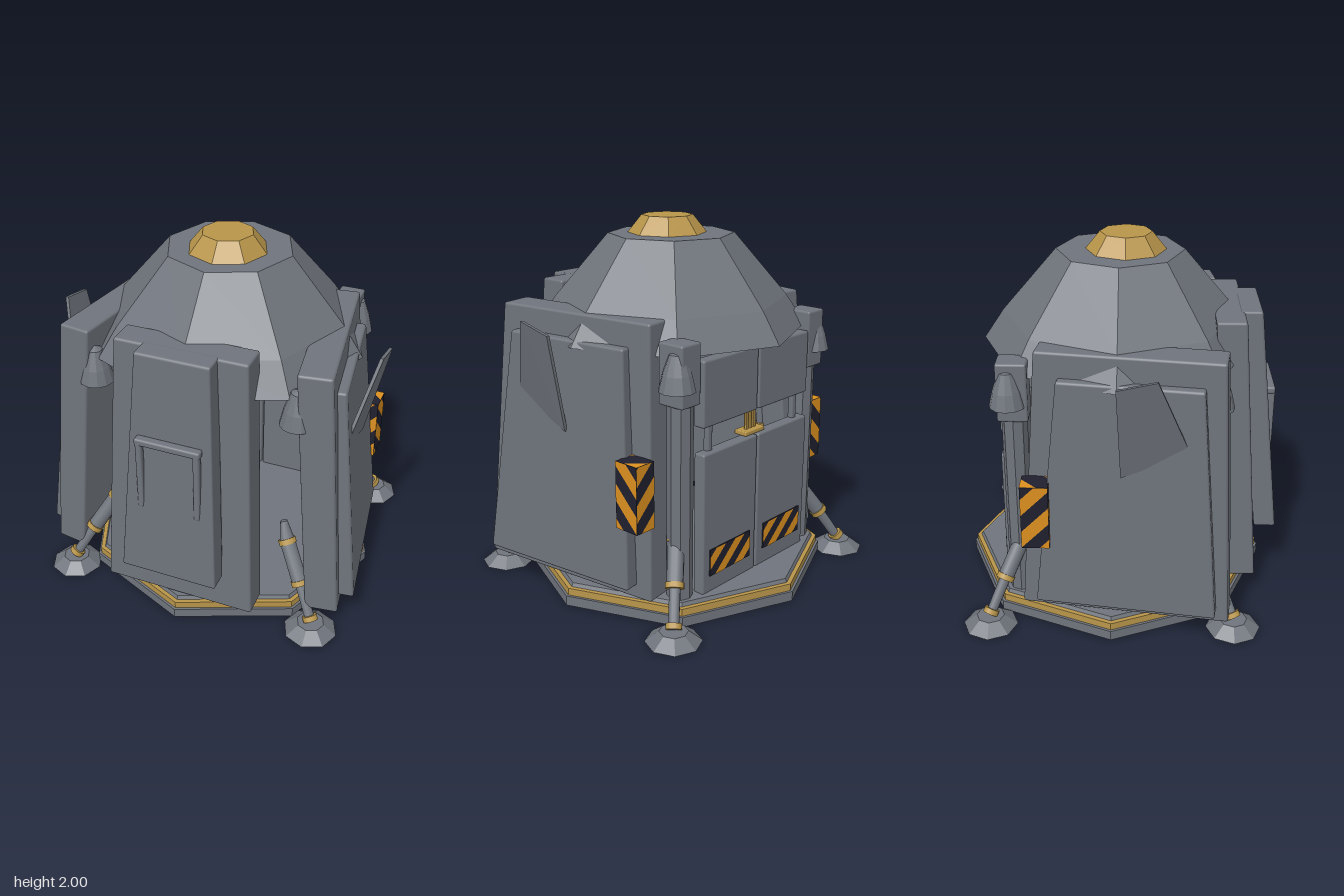
import * as THREE from 'three';
import { RoundedBoxGeometry } from 'three/addons/geometries/RoundedBoxGeometry.js';
import { ConvexGeometry } from 'three/addons/geometries/ConvexGeometry.js';

const mat = (name, color) => {
  const m = new THREE.MeshStandardMaterial({ color });
  m.name = name;
  return m;
};
const V = (x, y, z) => new THREE.Vector3(x, y, z);
const lerp = THREE.MathUtils.lerp;

export function createModel() {
  const hull = mat('hull grey', 0x6f747c);
  const gold = mat('brass', 0xb8954a);
  const orange = mat('hazard orange', 0xdc9020);
  const navy = mat('hazard navy', 0x20202f);
  const model = new THREE.Group();
  model.name = 'landingPod';

  const add = (parent, name, geo, material, x = 0, y = 0, z = 0) => {
    const m = new THREE.Mesh(geo, material);
    m.name = name;
    m.position.set(x, y, z);
    parent.add(m);
    return m;
  };
  const flat = (g) => {
    const n = g.index ? g.toNonIndexed() : g;
    n.computeVertexNormals();
    return n;
  };
  const disc = (rTop, rBottom, h, sides = 8) =>
    flat(new THREE.CylinderGeometry(rTop, rBottom, h, sides));
  const lathe = (pts, sides) =>
    flat(new THREE.LatheGeometry(pts.map(([r, y]) => new THREE.Vector2(r, y)), sides));
  const rbox = (w, h, d, r = 0.012) => new RoundedBoxGeometry(w, h, d, 2, r);

  // Straight rod between two points
  const rod = (parent, name, a, b, rA, rB, material, sides = 12) => {
    const d = b.clone().sub(a);
    const m = add(parent, name, new THREE.CylinderGeometry(rB, rA, d.length(), sides), material);
    m.position.copy(a).add(b).multiplyScalar(0.5);
    m.quaternion.setFromUnitVectors(V(0, 1, 0), d.normalize());
  };

  // Tapered slab leaning back; its outer face runs from z = zb to z = zt
  const slab = (wb, wt, y0, y1, zb, zt, t) => {
    const h = y1 - y0;
    const g = rbox(1, h, t, 0.014);
    const p = g.attributes.position;
    for (let i = 0; i < p.count; i++) {
      const f = p.getY(i) / h + 0.5;
      p.setXYZ(i, p.getX(i) * lerp(wb, wt, f), lerp(y0, y1, f), p.getZ(i) - t / 2 + lerp(zb, zt, f));
    }
    return g;
  };

  // Diagonal stripes clipped to a rectangle facing +z
  const clip = (poly, nx, ny, c) => poly.flatMap((p, i) => {
    const q = poly[(i + 1) % poly.length];
    const a = nx * p.x + ny * p.y - c, b = nx * q.x + ny * q.y - c;
    const out = a >= 0 ? [p] : [];
    if (a * b < 0) out.push(p.clone().lerp(q, a / (a - b)));
    return out;
  });
  const stripes = (w, h, slope, period, phase = 0) => {
    const shapes = [];
    for (let c = -(w + h); c < w + h; c += period) {
      let poly = [[-1, -1], [1, -1], [1, 1], [-1, 1]].map(([x, y]) => new THREE.Vector2(x * w / 2, y * h / 2));
      poly = clip(poly, slope, 1, c + phase);
      poly = clip(poly, -slope, -1, -(c + phase + period / 2));
      if (poly.length > 2) shapes.push(new THREE.Shape(poly));
    }
    return new THREE.ShapeGeometry(shapes);
  };

  // Octagonal base with brass band
  add(model, 'basePlate', disc(0.86, 0.86, 0.055), hull, 0, 0.0275, -0.03);
  add(model, 'baseBand', disc(0.845, 0.845, 0.04), gold, 0, 0.075, -0.03);
  add(model, 'floor', disc(0.81, 0.82, 0.02), hull, 0, 0.105, -0.03);

  // Hollow faceted dome and cap
  add(model, 'dome', lathe([[0, 1.86], [0.3, 1.86], [0.6, 1.53], [0.72, 1.395], [0.75, 1.395],
    [0.64, 1.56], [0.345, 1.905], [0, 1.905]], 8), hull);
  add(model, 'domeCap', disc(0.14, 0.22, 0.1), gold, 0, 1.95, 0.03);

  // Front panel with raised plate and handle
  const front = new THREE.Group();
  front.name = 'frontPanel';
  model.add(front);
  add(front, 'frontPanelBody', slab(0.86, 0.72, 0.13, 1.625, 0.77, 0.66, 0.16), hull);
  add(front, 'frontPanelPlate', slab(0.54, 0.4, 0.355, 1.628, 0.89, 0.755, 0.12), hull);
  add(front, 'handleBar', rbox(0.36, 0.04, 0.05), hull, 0, 1.165, 0.825);
  for (const s of [-1, 1])
    add(front, 'handleLeg', rbox(0.035, 0.42, 0.04), hull, s * 0.158, 0.965, 0.83);

  for (const s of [-1, 1]) {
    // Splayed side panel
    const side = new THREE.Group();
    side.name = s > 0 ? 'leftPanel' : 'rightPanel';
    side.rotation.y = s * 1.715;
    model.add(side);
    add(side, 'sidePanelBody', slab(1.11, 0.96, 0.13, 1.56, 0.771, 0.661, 0.18), hull, -s * 0.153);
    add(side, 'sidePanelPlate', slab(0.95, 0.74, 0.2, 1.43, 0.847, 0.72, 0.11), hull, -s * 0.166);

    // Angled fin standing off the side panel
    const fin = [[0.885, 1.53, 0.2], [0.885, 1.485, 0], [0.77, 0.955, 0.02], [0.78, 1.105, 0.365]];
    add(model, 'sideFin', new ConvexGeometry(fin.flatMap(([x, y, z]) =>
      [V(s * x, y, z), V(s * (x + 0.018), y, z)])), hull);

    // Striped hazard block behind the side panel
    const block = new THREE.Group();
    block.name = 'hazardBlock';
    block.position.set(s * 0.722, 0.71, -0.42);
    model.add(block);
    add(block, 'hazardCore', new THREE.BoxGeometry(0.125, 0.36, 0.145), navy);
    const wide = stripes(0.145, 0.36, s, 0.19, 0.02);
    const narrow = stripes(0.125, 0.36, -s, 0.19, 0.05);
    const end = stripes(0.125, 0.145, s, 0.3, 0.02);
    add(block, 'hazardOuterStripes', wide, orange, s * 0.064).rotation.y = s * Math.PI / 2;
    add(block, 'hazardInnerStripes', wide, orange, -s * 0.064).rotation.y = -s * Math.PI / 2;
    add(block, 'hazardBackStripes', narrow, orange, 0, 0, -0.074).rotation.y = Math.PI;
    add(block, 'hazardFrontStripes', narrow, orange, 0, 0, 0.074);
    add(block, 'hazardTopStripes', end, orange, 0, 0.1815, 0).rotation.x = -Math.PI / 2;
    add(block, 'hazardBottomStripes', end, orange, 0, -0.1815, 0).rotation.x = Math.PI / 2;

    // Back doors, upper and lower, joined by short posts
    add(model, 'lowerDoor', rbox(0.435, 0.785, 0.07), hull, s * 0.222, 0.5, -0.595);
    add(model, 'upperDoor', rbox(0.435, 0.35, 0.07), hull, s * 0.222, 1.205, -0.59);
    add(model, 'doorPost', rbox(0.04, 0.3, 0.035), hull, s * 0.36, 0.96, -0.585);
    add(model, 'doorHazardPlate', new THREE.BoxGeometry(0.33, 0.15, 0.008), navy, s * 0.225, 0.28, -0.633);
    add(model, 'doorHazardStripes', stripes(0.33, 0.15, -0.9, 0.14, 0.03), orange,
      s * 0.225, 0.28, -0.6385).rotation.y = Math.PI;

    // Back corner column with squared head
    add(model, 'cornerColumn', disc(0.068, 0.068, 1.2), hull, s * 0.515, 0.7, -0.535);
    add(model, 'cornerHead', rbox(0.14, 0.32, 0.16), hull, s * 0.52, 1.32, -0.535);

    // Thin inner strut with brass collars
    rod(model, 'innerStrut', V(s * 0.52, 0.24, -0.25), V(s * 0.51, 1.1, -0.25), 0.028, 0.02, hull);
    for (const y of [0.245, 0.735])
      add(model, 'innerCollar', disc(0.03, 0.03, 0.02, 12), gold, s * 0.515, y, -0.25);
    add(model, 'innerTag', new THREE.BoxGeometry(0.03, 0.065, 0.02), gold, s * 0.53, 1.125, 0.02);

    for (const f of [-1, 1]) {
      const at = (x, y, dz) => V(s * x, y, -0.03 + f * dz);
      // Thruster bell under the dome edge
      const bell = new THREE.Group();
      bell.name = 'thruster';
      bell.position.copy(at(0.565, 0, 0.53));
      model.add(bell);
      add(bell, 'thrusterBell', lathe([[0, 1.3], [0.08, 1.245], [0.095, 1.245], [0.075, 1.33],
        [0.04, 1.43], [0, 1.45]], 12), hull);
      add(bell, 'thrusterNozzle', disc(0.06, 0.06, 0.06, 12), gold, 0, 1.267, 0);

      // Landing leg: sleeve, piston, brass collars and foot
      const top = at(0.525, 0.43, 0.49), knee = at(0.635, 0.24, 0.58), ankle = at(0.73, 0.06, 0.66);
      const axis = knee.clone().sub(top).normalize();
      const collar = (p, r, h) => rod(model, 'legCollar', p.clone().addScaledVector(axis, -h / 2),
        p.clone().addScaledVector(axis, h / 2), r, r, gold);
      rod(model, 'legSleeve', top, knee, 0.044, 0.044, hull);
      rod(model, 'legRoot', at(0.49, 0.54, 0.46), top, 0.02, 0.044, hull);
      rod(model, 'legPiston', knee, ankle, 0.03, 0.027, hull);
      collar(top, 0.05, 0.03);
      collar(knee, 0.05, 0.03);
      collar(at(0.725, 0.075, 0.656), 0.042, 0.03);
      add(model, 'foot', disc(0.075, 0.148, 0.055), hull, s * 0.73, 0.0275, -0.03 + f * 0.66);
    }
  }

  // Brass latch between the doors
  add(model, 'latchPlate', rbox(0.16, 0.025, 0.08, 0.006), gold, 0, 0.905, -0.57);
  for (const x of [-0.03, 0, 0.03])
    add(model, 'latchRod', disc(0.012, 0.012, 0.16), gold, x, 0.97, -0.57);

  return model;
}
